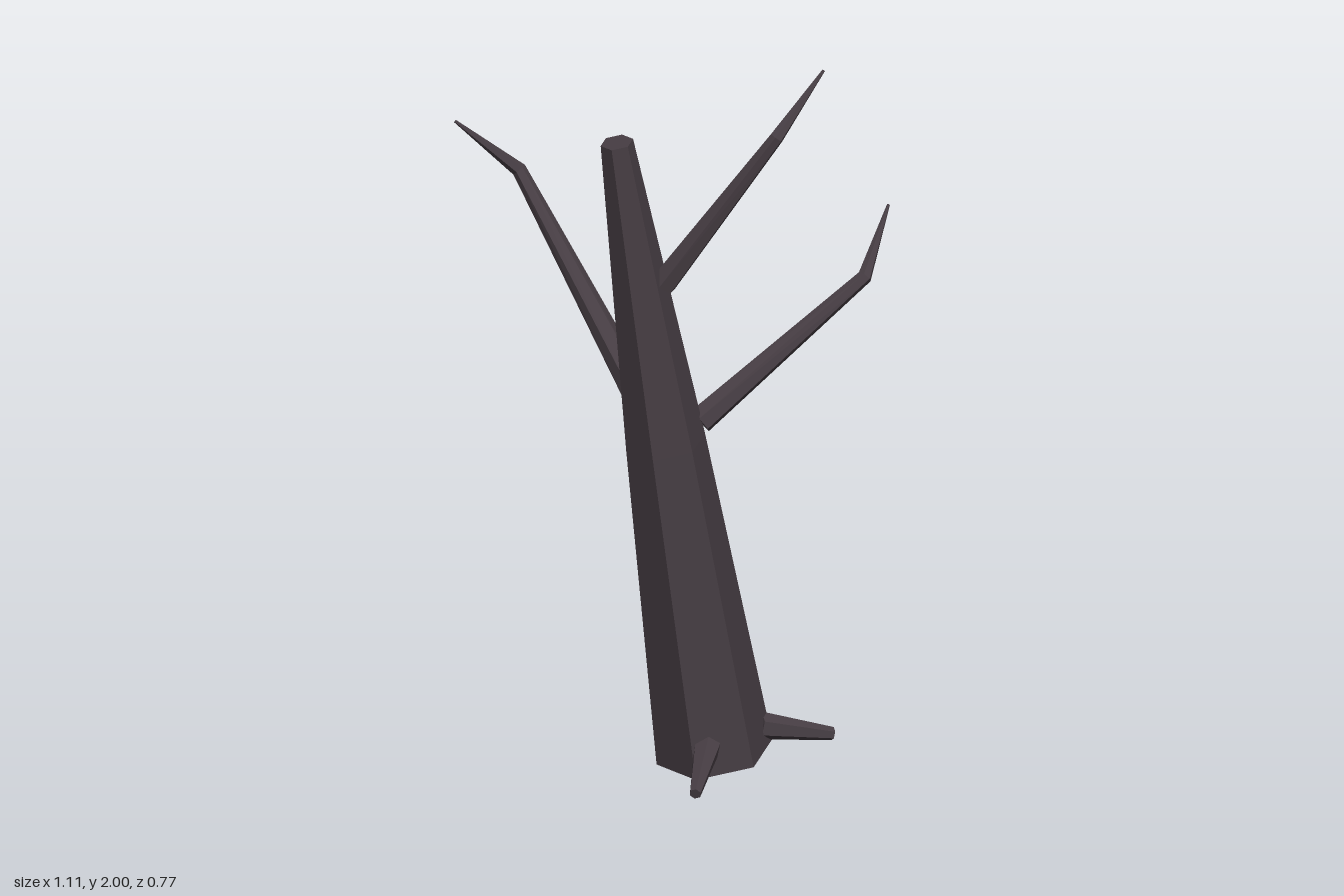
import * as THREE from 'three';

const UP = new THREE.Vector3(0, 1, 0);

// Faceted limb through [x, y, z, radius] stations, with mitred joints and capped ends
function limb(stations, sides) {
  const pts = stations.map(([x, y, z]) => new THREE.Vector3(x, y, z));
  const n = pts.length;
  const pos = [];
  const index = [];
  pts.forEach((p, i) => {
    const dir = new THREE.Vector3();
    if (i > 0) dir.add(p.clone().sub(pts[i - 1]).normalize());
    if (i < n - 1) dir.add(pts[i + 1].clone().sub(p).normalize());
    const q = new THREE.Quaternion().setFromUnitVectors(UP, dir.normalize());
    for (let k = 0; k < sides; k++) {
      const a = (k / sides) * Math.PI * 2;
      const r = stations[i][3];
      const v = new THREE.Vector3(Math.sin(a) * r, 0, Math.cos(a) * r).applyQuaternion(q).add(p);
      pos.push(v.x, v.y, v.z);
    }
  });
  for (let i = 0; i < n - 1; i++) {
    for (let k = 0; k < sides; k++) {
      const a = i * sides + k;
      const b = i * sides + ((k + 1) % sides);
      index.push(a, b, b + sides, a, b + sides, a + sides);
    }
  }
  const top = (n - 1) * sides;
  for (let k = 1; k < sides - 1; k++) {
    index.push(0, k + 1, k, top, top + k, top + k + 1);
  }
  const indexed = new THREE.BufferGeometry();
  indexed.setAttribute('position', new THREE.Float32BufferAttribute(pos, 3));
  indexed.setIndex(index);
  const geo = indexed.toNonIndexed();
  geo.computeVertexNormals();
  return geo;
}

export function createModel() {
  const group = new THREE.Group();
  const bark = new THREE.MeshStandardMaterial({ color: 0x463d43 });
  bark.name = 'dark bark';

  const add = (name, stations, sides) => {
    const mesh = new THREE.Mesh(limb(stations, sides), bark);
    mesh.name = name;
    group.add(mesh);
  };

  // Leaning trunk, tapering faster above the middle
  add('trunk', [
    [0.213, 0.023, 0.065, 0.157],
    [0.11, 0.94, 0.162, 0.107],
    [0.006, 1.825, 0.255, 0.044],
  ], 6);

  // Bare branches, each with a bent tip
  add('upperLeftBranch', [
    [0.115, 1.41, 0.2, 0.037],
    [0.413, 1.85, 0.145, 0.019],
    [0.497, 1.998, 0.007, 0.004],
  ], 6);
  add('lowerLeftBranch', [
    [0.185, 0.985, 0.1, 0.038],
    [0.538, 1.32, -0.21, 0.02],
    [0.546, 1.457, -0.382, 0.004],
  ], 6);
  add('rightBranch', [
    [0.035, 1.02, 0.12, 0.042],
    [-0.395, 1.53, -0.13, 0.02],
    [-0.555, 1.67, -0.076, 0.004],
  ], 6);

  // Stubby roots
  add('frontRoot', [[0.235, 0.093, 0.19, 0.038], [0.266, 0.04, 0.38, 0.016]], 6);
  add('backRightRoot', [[0.15, 0.09, -0.05, 0.038], [0.033, 0.04, -0.195, 0.018]], 6);
  add('backLeftRoot', [[0.32, 0.093, 0.015, 0.038], [0.482, 0.04, -0.11, 0.018]], 6);

  return group;
}
